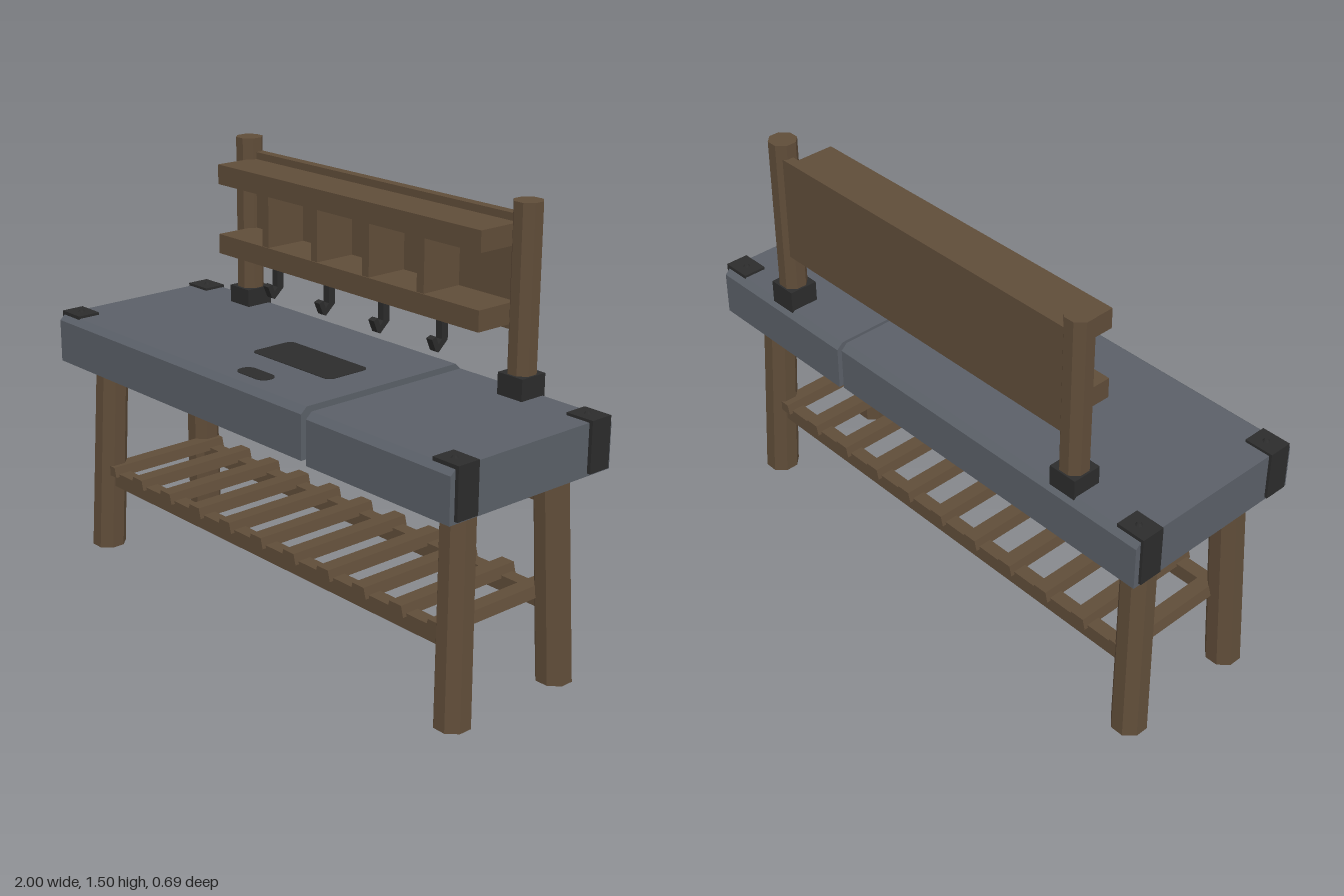
import * as THREE from 'three';

const slate = new THREE.MeshStandardMaterial({ color: 0x5b6068 });
slate.name = 'slate';
const wood = new THREE.MeshStandardMaterial({ color: 0x604d39 });
wood.name = 'wood';
const iron = new THREE.MeshStandardMaterial({ color: 0x2c2c2c });
iron.name = 'iron';

export function createModel() {
  const model = new THREE.Group();
  model.name = 'workbench';

  const add = (name, geo, mat) => {
    const mesh = new THREE.Mesh(geo, mat);
    mesh.name = name;
    model.add(mesh);
    return mesh;
  };

  // Box given by its limits on each axis
  const box = (name, mat, [x0, x1], [y0, y1], [z0, z1]) => {
    const geo = new THREE.BoxGeometry(x1 - x0, y1 - y0, z1 - z0);
    geo.translate((x0 + x1) / 2, (y0 + y1) / 2, (z0 + z1) / 2);
    return add(name, geo, mat);
  };

  // Profile of [z, y] points extruded along x
  const extrudeX = (points, x0, x1) => {
    const shape = new THREE.Shape(points.map(([z, y]) => new THREE.Vector2(-z, y)));
    const geo = new THREE.ExtrudeGeometry(shape, { depth: x1 - x0, bevelEnabled: false });
    return geo.rotateY(Math.PI / 2).translate(x0, 0, 0);
  };

  // Faceted eight-sided post with flats facing the axes, base at y = 0
  const octPost = (halfTop, halfBottom, height) => {
    const k = 1 / Math.cos(Math.PI / 8);
    const geo = new THREE.CylinderGeometry(halfTop * k, halfBottom * k, height, 8)
      .rotateY(Math.PI / 8).translate(0, height / 2, 0).toNonIndexed();
    geo.computeVertexNormals();
    return geo;
  };

  // Worktop: two slabs with chamfered long edges, the shorter one slightly lower
  const slab = (name, x0, x1, y) => add(name, extrudeX([
    [0.345, y], [0.345, y + 0.152], [0.322, y + 0.173],
    [-0.322, y + 0.173], [-0.345, y + 0.152], [-0.345, y],
  ], x0, x1), slate);
  slab('mainSlab', -0.99, 0.342, 0.72);
  slab('endSlab', 0.365, 0.987, 0.71);

  // Dark inlays on the main slab
  const inlay = (name, cx, cz, w, d, r) => {
    const x = w / 2, y = d / 2, s = new THREE.Shape();
    s.moveTo(-x + r, -y).lineTo(x - r, -y).absarc(x - r, -y + r, r, -Math.PI / 2, 0);
    s.lineTo(x, y - r).absarc(x - r, y - r, r, 0, Math.PI / 2);
    s.lineTo(-x + r, y).absarc(-x + r, y - r, r, Math.PI / 2, Math.PI);
    s.lineTo(-x, -y + r).absarc(-x + r, -y + r, r, Math.PI, Math.PI * 1.5);
    const geo = new THREE.ExtrudeGeometry(s, { depth: 0.005, bevelEnabled: false, curveSegments: 6 });
    add(name, geo.rotateX(-Math.PI / 2).translate(cx, 0.89, cz), iron);
  };
  inlay('largeInlay', 0, 0.017, 0.395, 0.175, 0.025);
  inlay('smallInlay', -0.004, 0.241, 0.15, 0.068, 0.033);

  // Corner straps folded over the slab ends, each with a rivet
  for (const sx of [-1, 1]) {
    const top = sx < 0 ? 0.902 : 0.892;
    for (const sz of [-1, 1]) {
      const z = sz * 0.284;
      const xs = (a, b) => (sx < 0 ? [-b, -a] : [a, b]);
      box('cornerStrapTop', iron, xs(0.895, 0.998), [top - 0.03, top], [z - 0.042, z + 0.042]);
      box('cornerStrapSide', iron, xs(0.975, 1), [top - 0.172, top], [z - 0.042, z + 0.042]);
      const rivet = new THREE.CylinderGeometry(0.006, 0.013, 0.008, 8).toNonIndexed();
      rivet.computeVertexNormals();
      add('strapRivet', rivet.translate(sx * 0.942, top + 0.003, z), iron);
    }
  }

  // Splayed legs with feet flat on the ground
  for (const sx of [-1, 1]) {
    for (const sz of [-1, 1]) {
      const shear = new THREE.Matrix4().makeShear(0, 0, -sx * 0.036, -sz * 0.038, 0, 0);
      const geo = octPost(0.054, 0.057, 0.73).applyMatrix4(shear);
      add('leg', geo.translate(sx * 0.907, 0, sz * 0.228), wood);
    }
  }

  // Rear beam under the worktop
  box('rearBeam', wood, [-0.86, 0.86], [0.6, 0.735], [-0.235, -0.185]);

  // Lower rack: two rails and tapered slats
  for (const sz of [-1, 1]) {
    box('rackRail', wood, [-0.87, 0.87], [0.246, 0.3], [sz * 0.21 - 0.025, sz * 0.21 + 0.025]);
  }
  const slatShape = new THREE.Shape([[-0.036, 0.29], [0.036, 0.29], [0.026, 0.327], [-0.026, 0.327]]
    .map(([x, y]) => new THREE.Vector2(x, y)));
  const slatGeo = new THREE.ExtrudeGeometry(slatShape, { depth: 0.5, bevelEnabled: false });
  for (let i = -5; i <= 5; i++) {
    add('rackSlat', slatGeo, wood).position.set(i * 0.169 - 0.004, 0, -0.25);
  }

  // Uprights in square iron sockets
  for (const sx of [-1, 1]) {
    const x = sx * 0.673;
    add('upright', octPost(0.045, 0.045, 0.635).translate(x, 0.87, -0.28), wood);
    box('uprightSocket', iron, [x - 0.052, x + 0.052], [0.875, 0.956], [-0.331, -0.226]);
  }

  // Tool rack: back board, two shelves and dividers
  box('backBoard', wood, [-0.65, 0.65], [1.085, 1.455], [-0.31, -0.275]);
  box('topShelf', wood, [-0.643, 0.638], [1.36, 1.43], [-0.28, -0.114]);
  box('bottomShelf', wood, [-0.643, 0.638], [1.11, 1.18], [-0.28, -0.114]);
  for (let i = 0; i < 4; i++) {
    const x = -0.388 + i * 0.255;
    box('shelfDivider', wood, [x - 0.016, x + 0.016], [1.18, 1.36], [-0.28, -0.118]);
  }

  // Hooks below the bottom shelf
  const hookGeo = extrudeX([
    [-0.18, 1.115], [-0.207, 1.115], [-0.207, 1.018], [-0.167, 0.982], [-0.155, 0.988],
    [-0.137, 1.03], [-0.155, 1.037], [-0.167, 1.01], [-0.18, 1.024],
  ], -0.0135, 0.0135);
  for (let i = 0; i < 4; i++) {
    add('hook', hookGeo, iron).position.x = -0.413 + i * 0.272;
  }

  return model;
}
